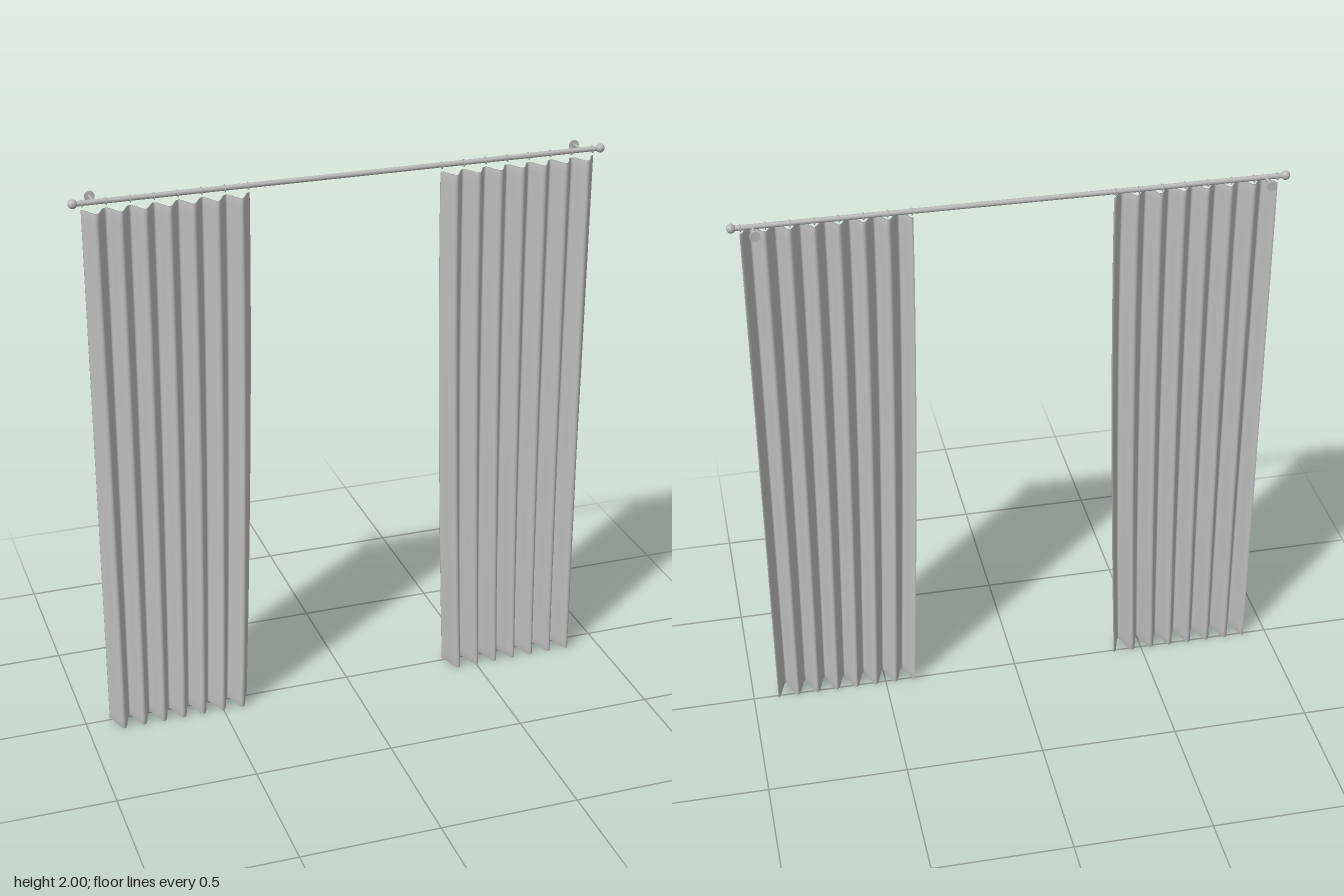
import * as THREE from 'three';

const ROD_Y = 1.984, TOP = 1.96, FOLDS = 7, OUTER = 0.91;

// Point on the cloth: u runs from the outer to the inner edge, y is the height
function clothPoint(u, y, side, offset) {
  const t = 1 - y / TOP;
  const width = 0.57 - 0.05 * Math.pow(t, 1.6);
  const back = -0.01 * t, front = 0.054 + 0.016 * t;
  const a = u * FOLDS * Math.PI * 2;
  const z = back + (front - back) * (1 - Math.cos(a)) / 2;
  // Offset across the fold gives the cloth its thickness
  const slope = (front - back) / 2 * Math.sin(a) * FOLDS * Math.PI * 2 / width;
  const len = Math.hypot(1, slope);
  return [side * (OUTER - u * width - slope / len * -offset), y, z + offset / len];
}

// Closed thin shell: each row is a loop along the front and back of the cloth
function curtainGeometry(side) {
  const cols = 112, rows = [0, 0.03];
  for (let i = 1; i <= 14; i++) rows.push(0.03 + (TOP - 0.06) * i / 14);
  rows.push(TOP);
  const pos = [], index = [], n = (cols + 1) * 2;
  for (const y of rows) {
    for (let i = 0; i <= cols; i++) pos.push(...clothPoint(i / cols, y, side, 0.002));
    for (let i = cols; i >= 0; i--) pos.push(...clothPoint(i / cols, y, side, -0.002));
  }
  const quad = (a, b, c, d) => side < 0
    ? index.push(a, b, c, a, c, d) : index.push(a, c, b, a, d, c);
  for (let r = 0; r < rows.length - 1; r++)
    for (let i = 0; i < n; i++) {
      const j = (i + 1) % n;
      quad(r * n + i, r * n + j, (r + 1) * n + j, (r + 1) * n + i);
    }
  // Bottom hem and top edge
  const last = (rows.length - 1) * n;
  for (let i = 0; i < cols; i++) {
    const f = i, g = i + 1, bf = n - 1 - i, bg = n - 2 - i;
    quad(g, f, bf, bg);
    quad(last + f, last + g, last + bg, last + bf);
  }
  const geo = new THREE.BufferGeometry();
  geo.setAttribute('position', new THREE.Float32BufferAttribute(pos, 3));
  geo.setIndex(index);
  geo.computeVertexNormals();
  return geo;
}

export function createModel() {
  const group = new THREE.Group();
  const cloth = new THREE.MeshStandardMaterial({ color: 0xbcbcbc });
  cloth.name = 'clothGrey';
  const metal = new THREE.MeshStandardMaterial({ color: 0xb8b8b8 });
  metal.name = 'metalGrey';

  const add = (name, geo, mat, x, y, z) => {
    const m = new THREE.Mesh(geo, mat);
    m.name = name;
    m.position.set(x, y, z);
    group.add(m);
  };

  // Rod
  add('rod', new THREE.CylinderGeometry(0.009, 0.009, 1.86, 20).rotateZ(Math.PI / 2), metal, 0, ROD_Y, 0);

  for (const side of [-1, 1]) {
    const label = side > 0 ? 'left' : 'right';
    add(label + 'Curtain', curtainGeometry(side), cloth, 0, 0, 0);
    add(label + 'Finial', new THREE.SphereGeometry(0.016, 20, 14), metal, side * 0.936, ROD_Y, 0);

    // Wall bracket: arm and round plate
    add(label + 'BracketArm', new THREE.CylinderGeometry(0.005, 0.005, 0.066, 12).rotateX(Math.PI / 2),
      metal, side * 0.866, ROD_Y, -0.033);
    add(label + 'BracketPlate', new THREE.CylinderGeometry(0.018, 0.018, 0.005, 20).rotateX(Math.PI / 2),
      metal, side * 0.866, ROD_Y - 0.002, -0.067);

    // Rings at the back of each fold
    for (let i = 0; i <= FOLDS; i++) {
      const x = side * (OUTER - 0.004 - i * 0.562 / FOLDS);
      add(label + 'Ring' + (i + 1), new THREE.TorusGeometry(0.0115, 0.002, 8, 20).rotateY(Math.PI / 2),
        metal, x, ROD_Y - 0.001, 0);
    }
  }
  return group;
}
